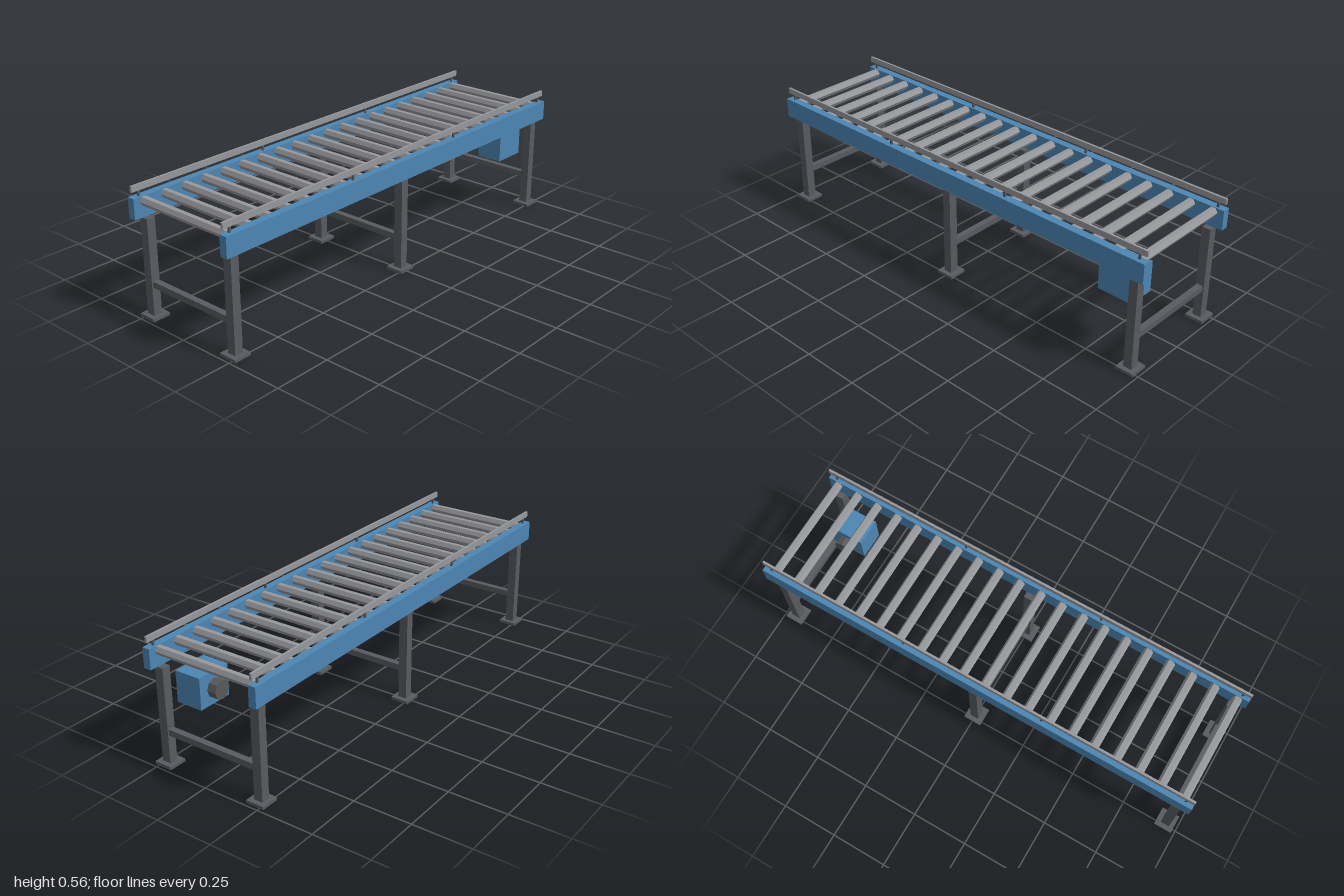
import * as THREE from 'three';

export function createModel() {
  const model = new THREE.Group();
  model.name = 'rollerConveyor';

  const mat = (name, color, flatShading = false) => {
    const m = new THREE.MeshStandardMaterial({ color, flatShading });
    m.name = name;
    return m;
  };
  const blue = mat('blue paint', 0x4d86b3);
  const darkSteel = mat('dark steel', 0x585b60);
  const steel = mat('bright steel', 0x97989c, true);
  const motorGrey = mat('motor grey', 0x595959, true);

  const add = (name, geometry, material, x, y, z) => {
    const mesh = new THREE.Mesh(geometry, material);
    mesh.name = name;
    mesh.position.set(x, y, z);
    model.add(mesh);
    return mesh;
  };
  // Box given by its centre in x and its limits in y and z
  const box = (name, material, x, width, y0, y1, z0, z1) =>
    add(name, new THREE.BoxGeometry(width, y1 - y0, Math.abs(z1 - z0)), material,
      x, (y0 + y1) / 2, (z0 + z1) / 2);

  // Side frames, guide rails with posts, legs and feet, mirrored front to back
  for (const s of [1, -1]) {
    box('sideFrame', blue, 0, 2, 0.421, 0.507, s * 0.235, s * 0.268);
    box('guideRail', steel, 0, 2, 0.53, 0.555, s * 0.243, s * 0.253);
    for (let i = 0; i < 4; i++) {
      box('guidePost', darkSteel, -0.965 + i * 0.6433, 0.009, 0.507, 0.53, s * 0.244, s * 0.252);
    }
    for (const x of [-0.947, 0, 0.947]) {
      box('leg', darkSteel, x, 0.038, 0.013, 0.421, s * 0.209, s * 0.248);
      box('footPlate', darkSteel, x, 0.08, 0, 0.013, s * 0.188, s * 0.268);
    }
  }

  // Cross braces between each pair of legs
  for (const x of [-0.947, 0, 0.947]) {
    box('crossBrace', darkSteel, x, 0.027, 0.134, 0.16, -0.209, 0.209);
  }

  // Hexagonal rollers, with an edge pointing along x
  const rollerGeometry = new THREE.CylinderGeometry(0.0196, 0.0196, 0.47, 6);
  rollerGeometry.rotateY(Math.PI / 2).rotateX(Math.PI / 2);
  for (let i = 0; i < 20; i++) {
    add('roller', rollerGeometry, steel, -0.953 + i * 0.1003, 0.488, 0);
  }

  // Drive box with its eight-sided motor
  box('driveBox', blue, 0.832, 0.156, 0.26, 0.394, 0.081, 0.2);
  const motorGeometry = new THREE.CylinderGeometry(0.04, 0.04, 0.04, 8).rotateX(Math.PI / 2);
  add('motor', motorGeometry, motorGrey, 0.832, 0.327, 0.0615);

  return model;
}
